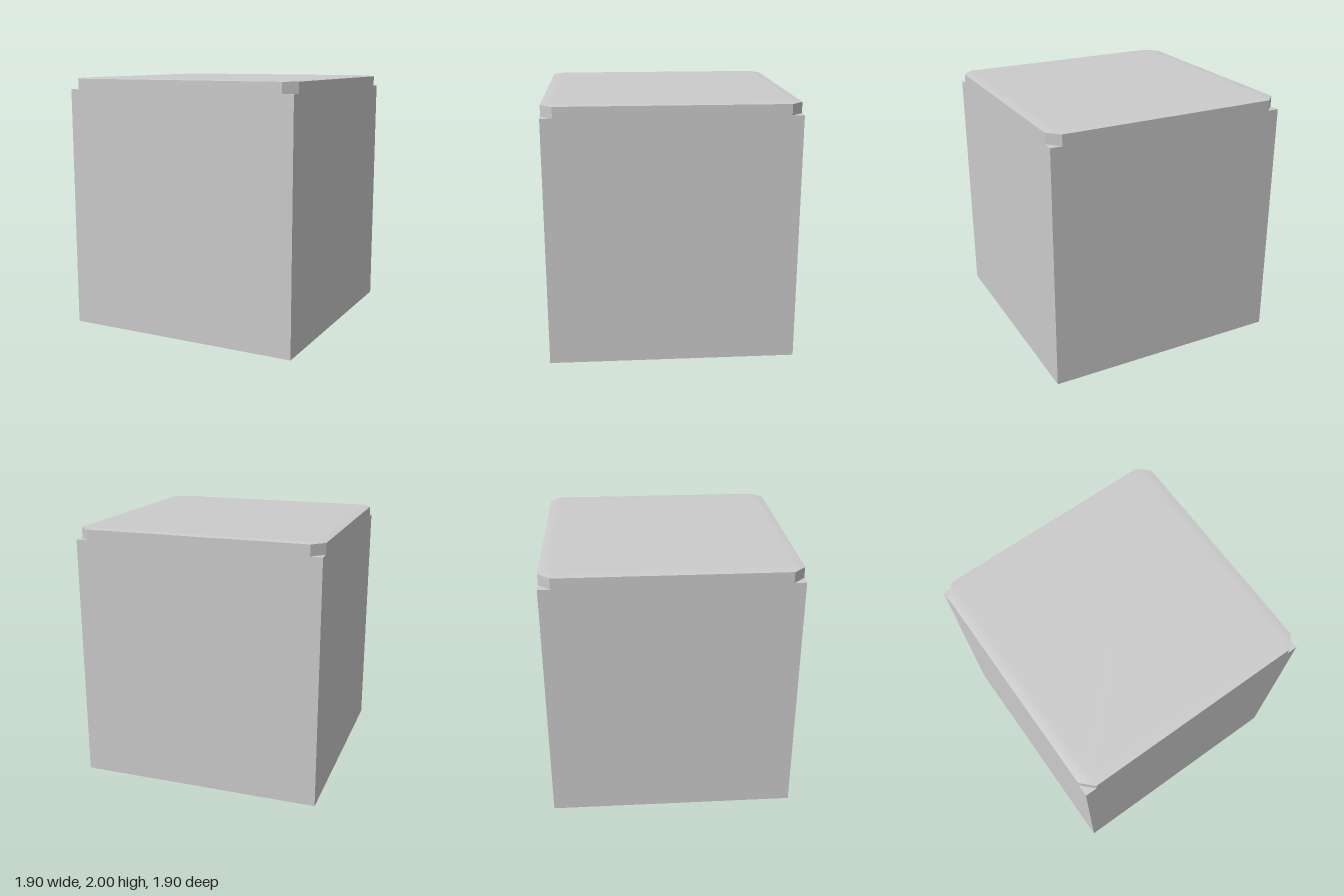
import * as THREE from 'three';
import { mergeGeometries } from 'three/addons/utils/BufferGeometryUtils.js';

const HALF = 0.95;   // half width of the block
const CUT = 0.86;    // where the corner notches begin
const FLOOR = 1.91;  // height of the notch floors
const RIM = 1.993;   // height of the top edge
const TOP = 2;

// Repeats a front-facing geometry on all four sides
function fourSides(geometry) {
  return mergeGeometries([0, 1, 2, 3].map(k => geometry.clone().rotateY(k * Math.PI / 2)));
}

function fromPoints(points, index) {
  const g = new THREE.BufferGeometry();
  g.setAttribute('position', new THREE.Float32BufferAttribute(points.flat(), 3));
  g.setIndex(index);
  g.computeVertexNormals();
  return g;
}

// Corner points of the eight-sided top outline, counter-clockwise from above
function octagon(inset, y) {
  const a = HALF - inset, c = CUT - inset * Math.tan(Math.PI / 8);
  return [[-c, a], [c, a], [a, c], [a, -c], [c, -a], [-c, -a], [-a, -c], [-a, c]]
    .map(([x, z]) => [x, y, z]);
}

export function createModel() {
  const group = new THREE.Group();
  const material = new THREE.MeshStandardMaterial({ color: 0xcccccc });
  const add = (name, geometry) => {
    const mesh = new THREE.Mesh(geometry, material);
    mesh.name = name;
    group.add(mesh);
  };

  // Side walls with the notches cut from their upper corners
  const outline = [[-HALF, 0], [HALF, 0], [HALF, FLOOR], [CUT, FLOOR],
    [CUT, RIM], [-CUT, RIM], [-CUT, FLOOR], [-HALF, FLOOR]];
  const wall = new THREE.ShapeGeometry(new THREE.Shape(outline.map(p => new THREE.Vector2(...p))));
  add('sideWalls', fourSides(wall.translate(0, 0, HALF)));

  // Notch backs and floors
  add('notchBacks', fourSides(fromPoints(
    [[CUT, FLOOR, HALF], [HALF, FLOOR, CUT], [HALF, RIM, CUT], [CUT, RIM, HALF]],
    [0, 1, 2, 0, 2, 3])));
  add('notchFloors', fourSides(fromPoints(
    [[CUT, FLOOR, HALF], [HALF, FLOOR, HALF], [HALF, FLOOR, CUT]], [0, 1, 2])));

  // Top, softly rounded down towards its edge
  const rings = [[0, RIM], [0.04, 1.998], [0.08, TOP]];
  const points = rings.flatMap(([inset, y]) => octagon(inset, y));
  points.push([0, TOP, 0]);
  const centre = points.length - 1, index = [];
  for (let i = 0; i < 8; i++) {
    const j = (i + 1) % 8;
    for (let r = 0; r < 16; r += 8) {
      index.push(r + i, r + j, r + 8 + j, r + i, r + 8 + j, r + 8 + i);
    }
    index.push(16 + i, 16 + j, centre);
  }
  add('top', fromPoints(points, index));

  // Underside
  add('base', new THREE.PlaneGeometry(2 * HALF, 2 * HALF).rotateX(Math.PI / 2));

  return group;
}
